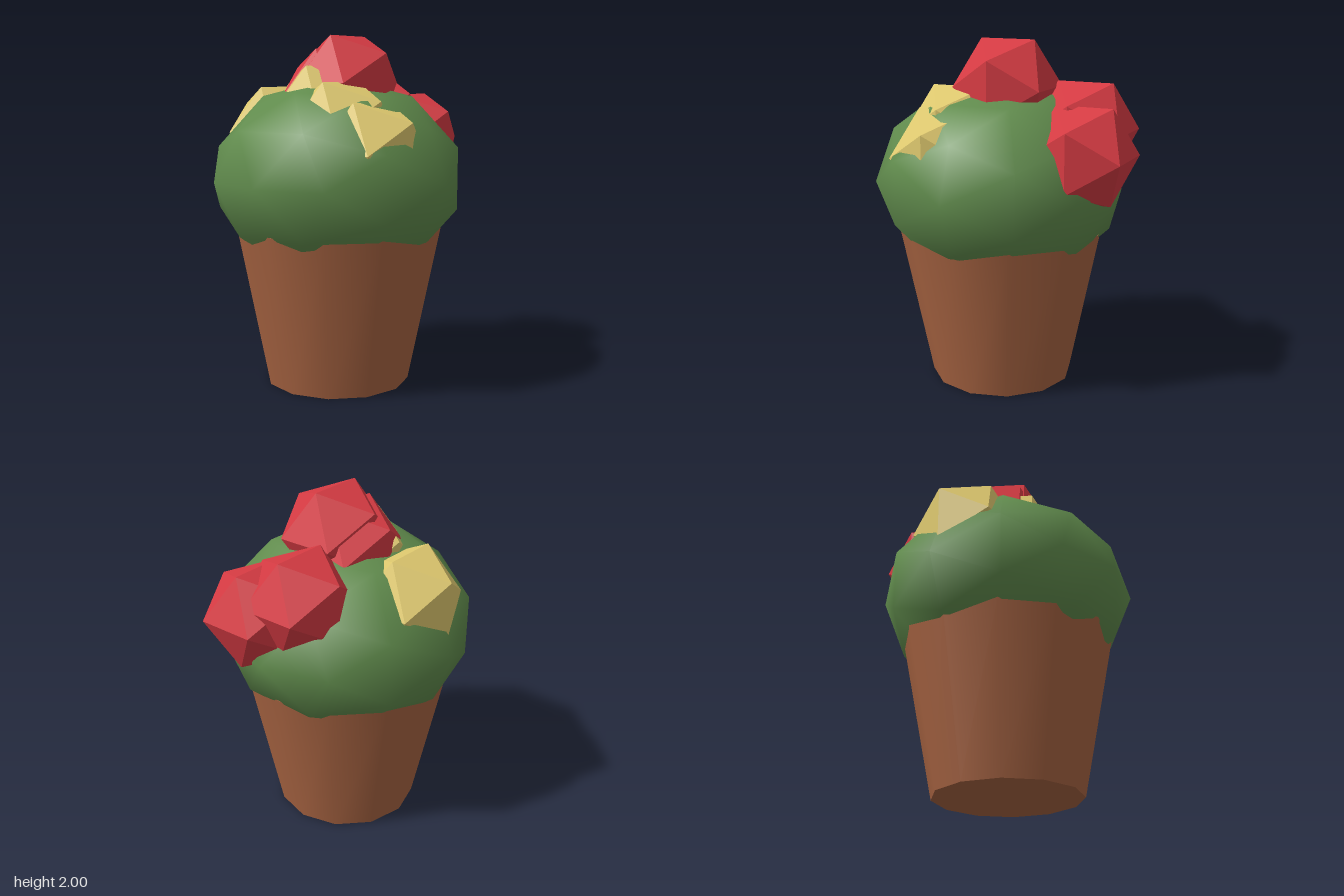
import * as THREE from 'three';

const terracotta = new THREE.MeshStandardMaterial({ name: 'terracotta', color: 0xa86442 });
const leafGreen = new THREE.MeshStandardMaterial({ name: 'leafGreen', color: 0x618c4d });
const petalRed = new THREE.MeshStandardMaterial({ name: 'petalRed', color: 0xd63b43, flatShading: true });
const petalGold = new THREE.MeshStandardMaterial({ name: 'petalGold', color: 0xdfc96f, flatShading: true });

const CENTER_X = -0.05;

export function createModel() {
  const model = new THREE.Group();
  model.name = 'pottedPlant';

  function add(name, geometry, material, x, y, z) {
    const mesh = new THREE.Mesh(geometry, material);
    mesh.name = name;
    mesh.position.set(x, y, z);
    model.add(mesh);
    return mesh;
  }

  // Tapered pot, twelve sides with smooth shading
  add('pot', new THREE.CylinderGeometry(0.605, 0.42, 0.92, 12), terracotta, CENTER_X, 0.46, 0);

  // Squashed low-poly dome of leaves resting in the pot
  const foliage = add('foliage', new THREE.IcosahedronGeometry(0.73, 1), leafGreen, CENTER_X, 1.19, 0);
  foliage.scale.y = 0.58 / 0.73;

  // Faceted flowers sunk into the foliage
  const flower = new THREE.IcosahedronGeometry(0.312, 0);
  const redFlowers = [
    [0.005, 1.735, 0.035],
    [0.43, 1.505, -0.075],
    [0.51, 1.4, 0.145],
    [-0.02, 1.66, -0.05],
  ];
  const goldFlowers = [
    [-0.065, 1.445, -0.42],
    [-0.22, 1.367, 0.355],
    [-0.235, 1.475, 0.165],
    [-0.107, 1.565, -0.05],
  ];
  redFlowers.forEach((p, i) => add('redFlower' + (i + 1), flower, petalRed, ...p));
  goldFlowers.forEach((p, i) => add('goldFlower' + (i + 1), flower, petalGold, ...p));

  return model;
}
